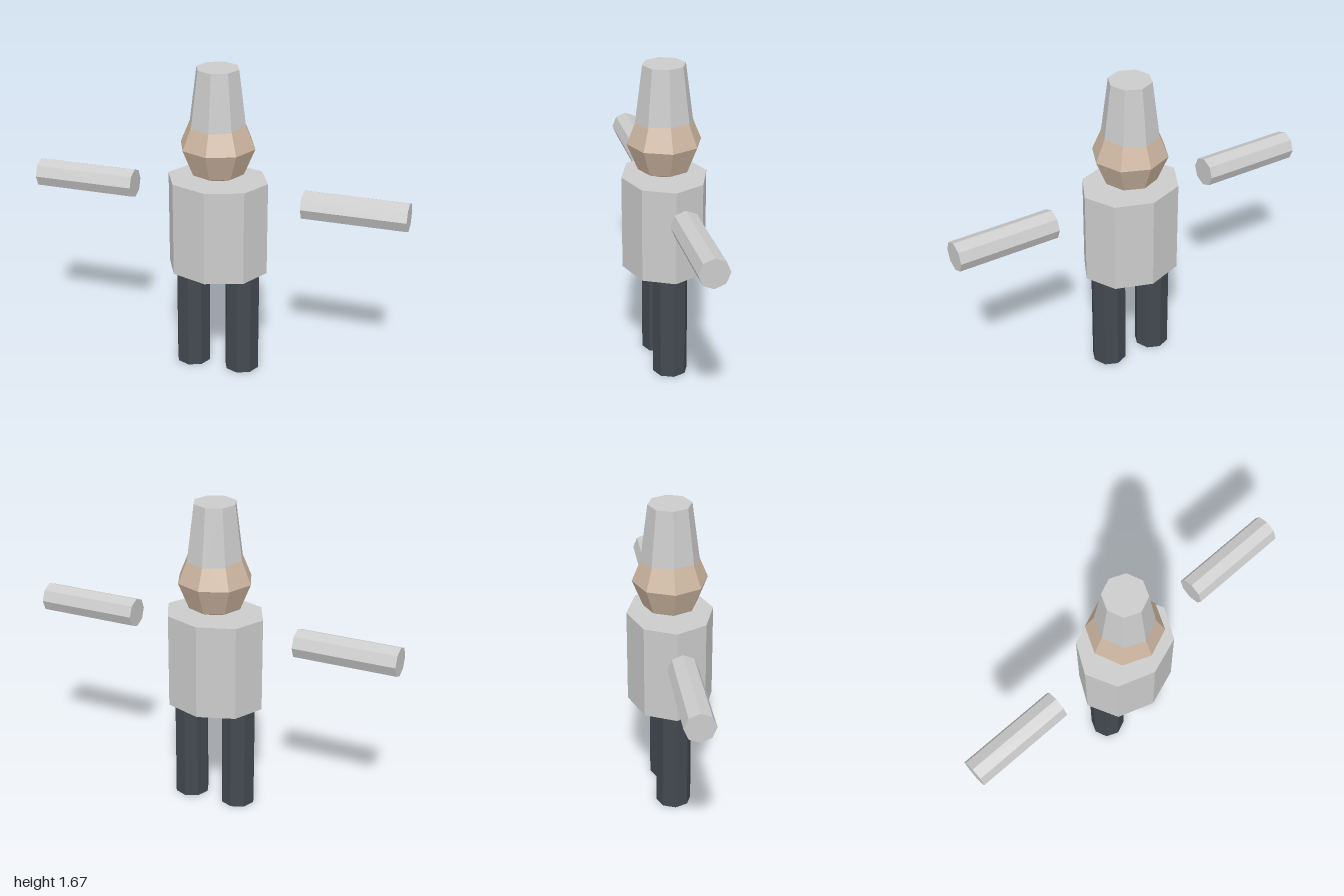
import * as THREE from 'three';

const SIDES = 8;

function makeMaterial(color) {
  return new THREE.MeshStandardMaterial({ color, flatShading: true });
}

export function createModel() {
  const model = new THREE.Group();
  model.name = 'figure';

  const grey = makeMaterial(0xcccccc);
  const skin = makeMaterial(0xccb5a0);
  const dark = makeMaterial(0x434951);

  function addPart(name, geometry, material, x, y) {
    const mesh = new THREE.Mesh(geometry, material);
    mesh.name = name;
    mesh.position.set(x, y, 0);
    model.add(mesh);
    return mesh;
  }

  // Torso: an eight-sided prism, slightly wider than deep
  const torso = new THREE.CylinderGeometry(1, 1, 0.505, SIDES);
  torso.scale(0.27, 1, 0.225);
  addPart('torso', torso, grey, 0, 0.8275);

  // Head: a coarse faceted ball sinking slightly into the torso
  const head = new THREE.SphereGeometry(0.2, SIDES, 4);
  head.scale(1, 1, 0.975);
  addPart('head', head, skin, 0, 1.26);

  // Hat: a tapered prism seated in the top of the head
  addPart('hat', new THREE.CylinderGeometry(0.112, 0.155, 0.33, SIDES), grey, 0, 1.505);

  // Mirrored legs and free-floating horizontal arms
  const leg = new THREE.CylinderGeometry(0.0925, 0.0925, 0.575, SIDES);
  const arm = new THREE.CylinderGeometry(0.0775, 0.0775, 0.54, SIDES);
  arm.rotateZ(Math.PI / 2);
  for (const [side, s] of [['left', 1], ['right', -1]]) {
    addPart(side + 'Leg', leg, dark, s * 0.1375, 0.2875);
    addPart(side + 'Arm', arm, grey, s * 0.73, 0.9925);
  }

  return model;
}
